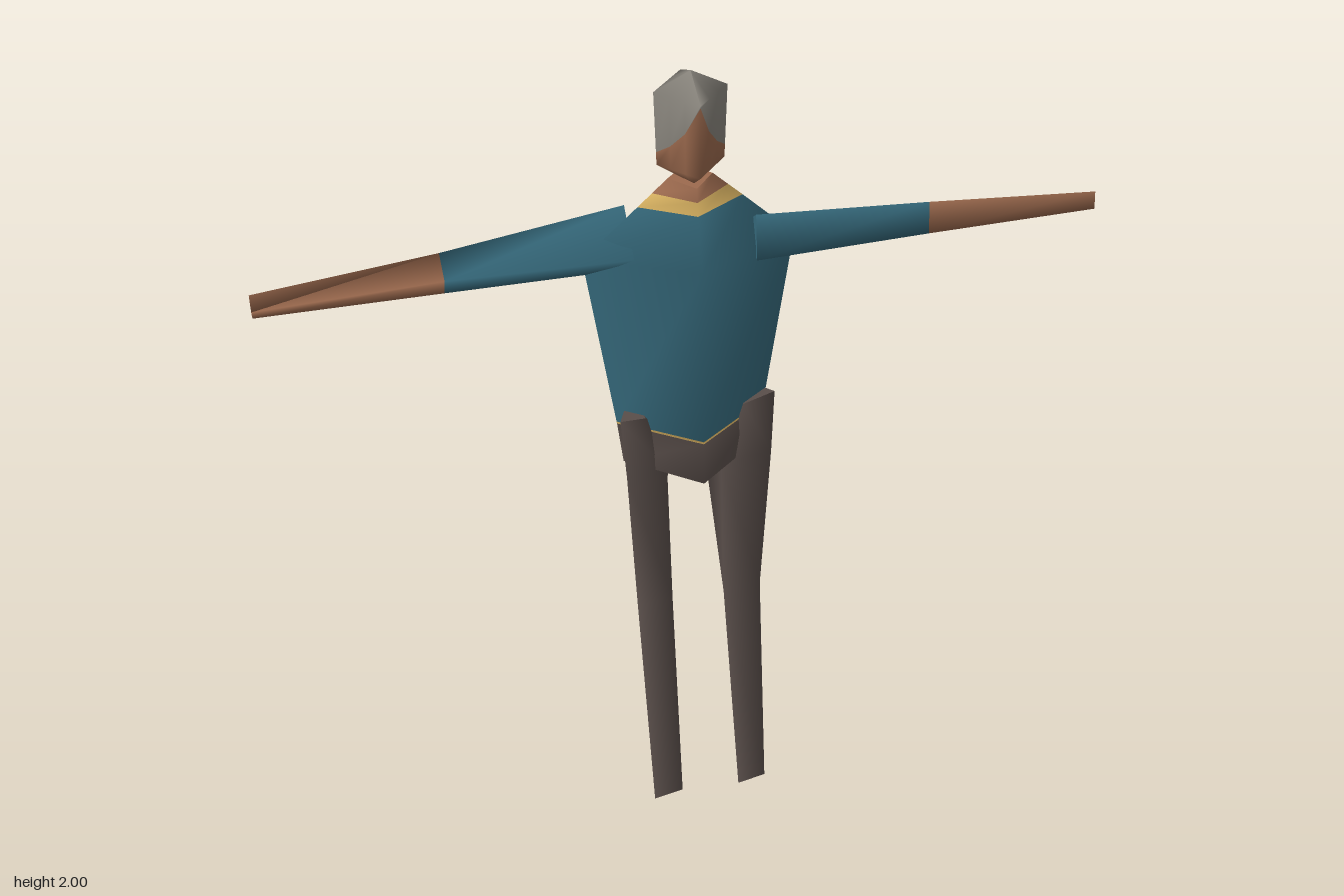
import * as THREE from 'three';

const mat = (name, color) => {
  const m = new THREE.MeshStandardMaterial({ color });
  m.name = name;
  return m;
};

// Joins closed rings of [x, y, z] points; mats gives one material per band.
// The ends are closed with fans in the first and last band's material.
function loft(name, rings, mats) {
  const n = rings[0].length;
  const pos = rings.flat(2);
  const index = [];
  const list = [...new Set(mats)];
  const geo = new THREE.BufferGeometry();
  const group = (start, m) => geo.addGroup(start, index.length - start, list.indexOf(m));
  for (let i = 0; i < rings.length - 1; i++) {
    const start = index.length;
    for (let j = 0; j < n; j++) {
      const a = i * n + j, b = i * n + (j + 1) % n;
      index.push(a, b, b + n, a, b + n, a + n);
    }
    group(start, mats[i]);
  }
  [[rings[0], true, mats[0]], [rings.at(-1), false, mats.at(-1)]].forEach(([ring, flip, m]) => {
    const start = index.length, base = pos.length / 3;
    pos.push(...ring.flat());
    for (let j = 1; j < n - 1; j++) {
      index.push(base, base + (flip ? j + 1 : j), base + (flip ? j : j + 1));
    }
    group(start, m);
  });
  // Turn the surface outwards if its signed volume is negative
  const at = (i) => new THREE.Vector3().fromArray(pos, i * 3);
  let volume = 0;
  for (let i = 0; i < index.length; i += 3) {
    volume += at(index[i]).dot(at(index[i + 1]).cross(at(index[i + 2])));
  }
  if (volume < 0) {
    for (let i = 0; i < index.length; i += 3) {
      [index[i + 1], index[i + 2]] = [index[i + 2], index[i + 1]];
    }
  }
  geo.setAttribute('position', new THREE.Float32BufferAttribute(pos, 3));
  geo.setIndex(index);
  geo.computeVertexNormals();
  const mesh = new THREE.Mesh(geo, list);
  mesh.name = name;
  return mesh;
}

// Diamond section: height, half width, front z, back z, z of the side corners
const diamond = (y, w, front, back, mid = -0.04) =>
  [[0, y, front], [w, y, mid], [0, y, back], [-w, y, mid]];

// Splits each side of a diamond into three
const subdivide = (ring) => ring.flatMap((p, i) => {
  const q = ring[(i + 1) % 4];
  return [0, 1 / 3, 2 / 3].map((t) => p.map((v, k) => v + (q[k] - v) * t));
});

export function createModel() {
  const model = new THREE.Group();
  model.name = 'figure';
  const shirt = mat('teal shirt', 0x35687a);
  const skin = mat('skin', 0x9c6a4e);
  const trousers = mat('dark trousers', 0x594e4a);
  const hair = mat('grey hair', 0x86827a);
  const trim = mat('yellow trim', 0xd6b060);

  // Pelvis, belt line, shirt, collar and neck
  model.add(loft('torso', [
    diamond(1.005, 0.165, 0.092, -0.142),
    diamond(1.118, 0.178, 0.088, -0.146),
    diamond(1.124, 0.179, 0.088, -0.146),
    diamond(1.57, 0.243, 0.072, -0.156, -0.05),
    diamond(1.69, 0.118, 0.032, -0.105),
    diamond(1.72, 0.085, 0.025, -0.095),
    diamond(1.752, 0.05, 0.02, -0.09),
  ], [trousers, trim, shirt, shirt, trim, skin]));

  // Head: the hairline rises to a point over the brow
  const brow = [1.955, 1.885, 1.845, 1.82, 1.82, 1.82, 1.82, 1.82, 1.82, 1.82, 1.845, 1.885];
  const jaw = subdivide(diamond(1.79, 0.075, 0.048, -0.12, -0.036));
  const crown = subdivide(diamond(1.96, 0.08, 0.05, -0.126, -0.036));
  const hairline = jaw.map((p, i) => {
    const t = (brow[i] - 1.79) / 0.17;
    return p.map((v, k) => v + (crown[i][k] - v) * t);
  });
  model.add(loft('head', [
    subdivide(diamond(1.752, 0.018, -0.005, -0.06, -0.034)),
    jaw, hairline, crown,
    subdivide(diamond(2.0, 0.002, -0.034, -0.038, -0.036)),
  ], [skin, skin, hair, hair]));

  // Three-sided arms with short sleeves, root to fingertip
  const sleeve = [shirt, skin];
  model.add(loft('leftArm', [
    [[0.14, 1.655, -0.005], [0.14, 1.58, -0.1], [0.14, 1.548, 0.012]],
    [[0.55, 1.622, -0.02], [0.55, 1.58, -0.08], [0.55, 1.547, -0.008]],
    [[0.96, 1.588, -0.028], [0.96, 1.565, -0.052], [0.96, 1.547, -0.02]],
  ], sleeve));
  model.add(loft('rightArm', [
    [[-0.13, 1.65, -0.125], [-0.14, 1.595, 0.02], [-0.2, 1.53, -0.05]],
    [[-0.55, 1.615, -0.08], [-0.55, 1.585, -0.01], [-0.55, 1.537, -0.04]],
    [[-0.96, 1.588, -0.052], [-0.96, 1.565, -0.02], [-0.96, 1.54, -0.035]],
  ], sleeve));

  // Three-sided legs: two front corners and one at the back
  const legs = {
    leftLeg: [
      [[0.115, 1.16, 0.012], [0.2, 1.16, -0.02], [0.12, 1.16, -0.105]],
      [[0.06, 1.0, 0.02], [0.19, 1.0, 0.0], [0.045, 1.0, -0.108]],
      [[0.07, 0.59, 0.022], [0.168, 0.59, 0.01], [0.1, 0.56, -0.073]],
      [[0.08, 0.025, 0.158], [0.157, 0.02, 0.14], [0.103, 0.0, 0.085]],
    ],
    rightLeg: [
      [[-0.18, 1.16, 0.012], [-0.12, 1.16, 0.012], [-0.13, 1.16, -0.105]],
      [[-0.17, 1.0, 0.02], [-0.07, 1.0, 0.01], [-0.025, 1.0, -0.108]],
      [[-0.152, 0.59, 0.022], [-0.06, 0.59, 0.01], [-0.1, 0.56, -0.073]],
      [[-0.147, 0.025, 0.158], [-0.068, 0.02, 0.14], [-0.122, 0.0, 0.085]],
    ],
  };
  for (const [name, rings] of Object.entries(legs)) {
    model.add(loft(name, rings, [trousers, trousers, trousers]));
  }
  return model;
}
